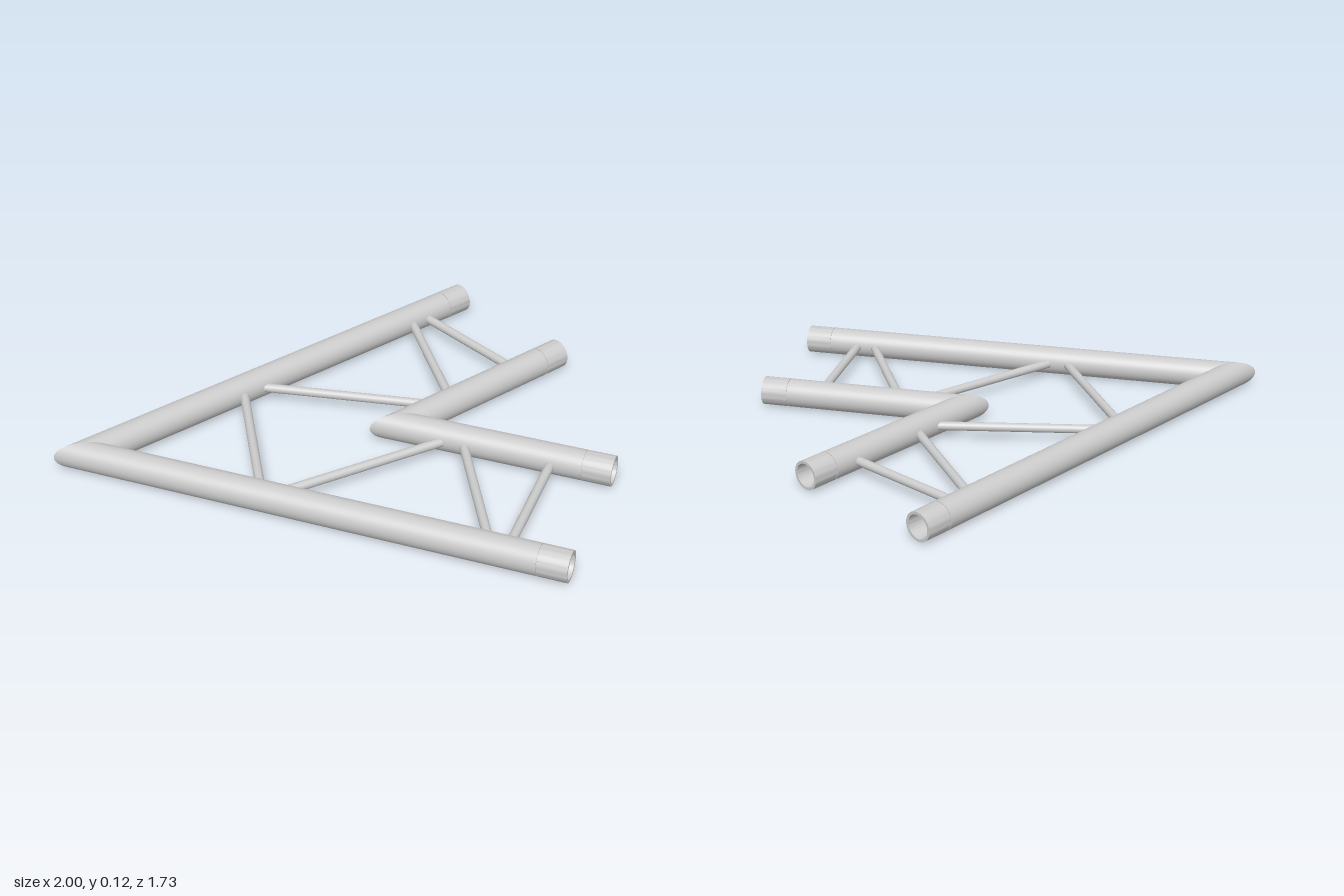
import * as THREE from 'three';
import { toCreasedNormals } from 'three/addons/utils/BufferGeometryUtils.js';

const R = 0.059;            // chord tube radius
const BRACE_R = 0.018;
const SLEEVE = 0.11;        // length of the end sleeve
const GROOVE = 0.003;
const ANGLE = Math.PI / 3;  // angle between the two legs
const material = new THREE.MeshStandardMaterial({ color: 0xcccccc });

// Tube along +x whose start is cut on the mitre plane; side is +1 or -1
function mitredTube(length, side) {
  const geo = new THREE.CylinderGeometry(R, R, 1, 48, 1, true);
  geo.rotateZ(-Math.PI / 2);
  const p = geo.attributes.position;
  for (let i = 0; i < p.count; i++) {
    const start = -side * p.getZ(i) / Math.tan(ANGLE / 2);
    p.setX(i, p.getX(i) < 0 ? start : length);
  }
  return geo;
}

// Hollow end sleeve with a seam groove, a rim and a tapered socket
function sleeveGeometry() {
  const profile = [
    [R, -SLEEVE - GROOVE], [R - 0.003, -SLEEVE - GROOVE], [R - 0.003, -SLEEVE], [R, -SLEEVE],
    [R, 0], [0.048, 0], [0.041, -0.09], [0, -0.09],
  ].map(([x, y]) => new THREE.Vector2(x, y));
  const geo = new THREE.LatheGeometry(profile, 48);
  geo.rotateZ(-Math.PI / 2);
  return toCreasedNormals(geo, 0.6);
}

// Two equal legs meeting in a mitred corner
function chord(name, x, z, length) {
  const group = new THREE.Group();
  group.name = name;
  for (const side of [1, -1]) {
    const leg = new THREE.Group();
    leg.name = side > 0 ? 'frontLeg' : 'angledLeg';
    const tube = new THREE.Mesh(mitredTube(length - SLEEVE - GROOVE, side), material);
    tube.name = 'chordTube';
    const sleeve = new THREE.Mesh(sleeveGeometry(), material);
    sleeve.name = 'endSleeve';
    sleeve.position.x = length;
    leg.add(tube, sleeve);
    if (side < 0) leg.rotation.y = ANGLE;
    group.add(leg);
  }
  group.position.set(x, R, z);
  return group;
}

// Thin round bar between two points of the truss plane, sunk into the chords
function brace([x1, z1], [x2, z2]) {
  const a = new THREE.Vector3(x1, R, z1);
  const b = new THREE.Vector3(x2, R, z2);
  const dir = b.clone().sub(a);
  const geo = new THREE.CylinderGeometry(BRACE_R, BRACE_R, dir.length() + 0.04, 24);
  const mesh = new THREE.Mesh(geo, material);
  mesh.position.copy(a).add(b).multiplyScalar(0.5);
  mesh.quaternion.setFromUnitVectors(new THREE.Vector3(0, 1, 0), dir.normalize());
  mesh.name = 'brace';
  return mesh;
}

export function createModel() {
  const model = new THREE.Group();
  model.name = 'cornerTruss';
  model.add(chord('outerChord', -0.898, 0.807, 1.898));
  model.add(chord('innerChord', 0.147, 0.203, 0.853));

  // Lattice bars: [start], [end] as x, z
  const braces = [
    [[0.765, 0.26], [0.765, 0.75]],
    [[0.43, 0.26], [0.68, 0.75]],
    [[0.325, 0.26], [-0.1, 0.75]],
    [[-0.2, 0.75], [-0.505, 0.22]],
    [[-0.46, 0.135], [0.19, 0.02]],
    [[0.245, -0.085], [-0.07, -0.55]],
    [[-0.02, -0.61], [0.42, -0.365]],
  ];
  for (const [start, end] of braces) model.add(brace(start, end));
  return model;
}
